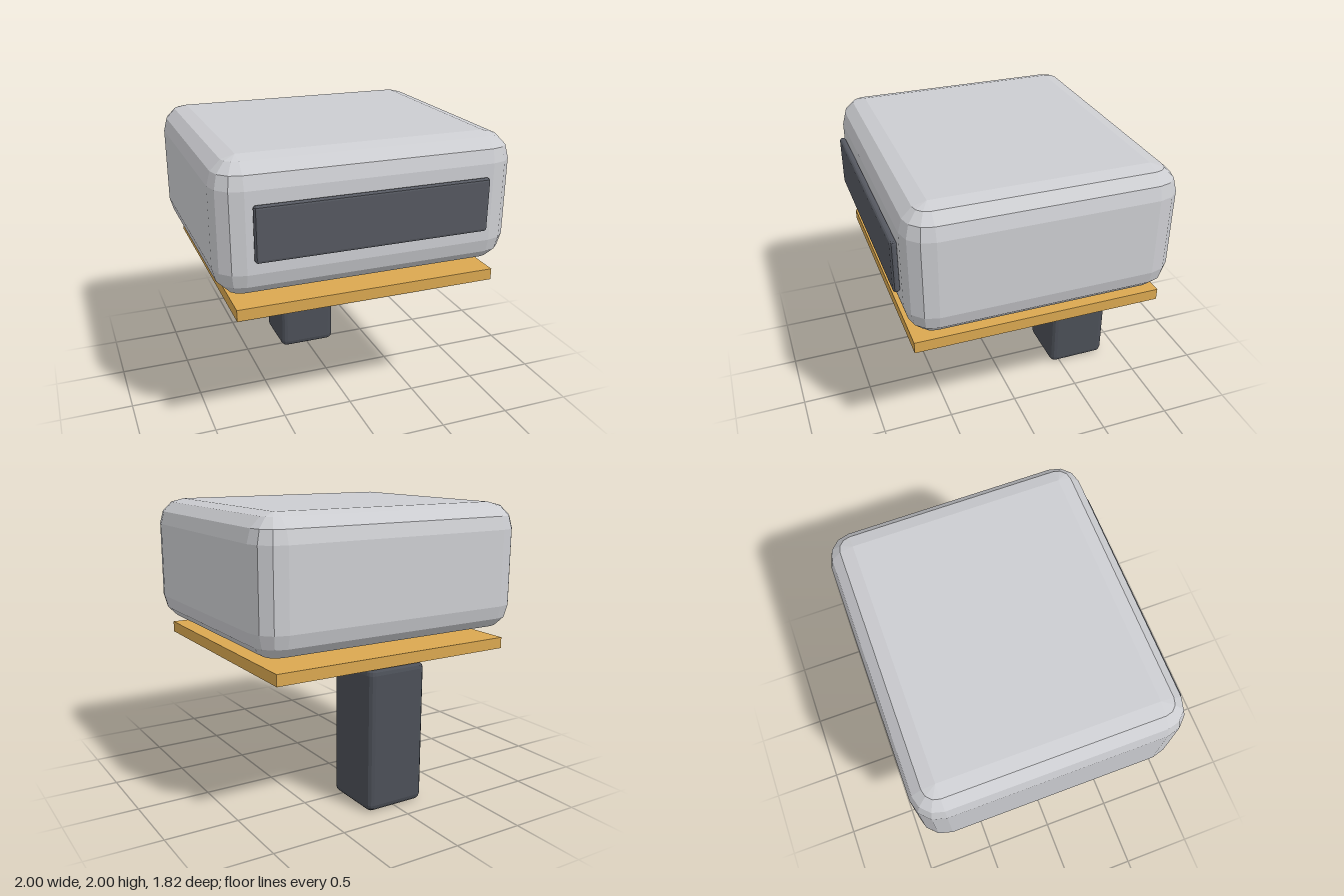
import * as THREE from 'three';
import { ConvexGeometry } from 'three/addons/geometries/ConvexGeometry.js';

// Box between two corners with edges rounded in a few flat facets
function bevelBox(min, max, radius, steps) {
  const points = [];
  for (const sx of [-1, 1]) for (const sy of [-1, 1]) for (const sz of [-1, 1]) {
    const s = [sx, sy, sz];
    const c = s.map((v, i) => (v < 0 ? min[i] + radius : max[i] - radius));
    for (let i = 0; i <= steps; i++) {
      const lat = (i / steps) * Math.PI / 2;
      const turns = i === steps ? 0 : steps;
      for (let j = 0; j <= turns; j++) {
        const lon = (j / steps) * Math.PI / 2;
        points.push(new THREE.Vector3(
          c[0] + sx * radius * Math.cos(lat) * Math.cos(lon),
          c[1] + sy * radius * Math.sin(lat),
          c[2] + sz * radius * Math.cos(lat) * Math.sin(lon)));
      }
    }
  }
  return new ConvexGeometry(points);
}

export function createModel() {
  const model = new THREE.Group();
  model.name = 'boxOnStand';

  const add = (name, geometry, color) => {
    const material = new THREE.MeshStandardMaterial({ color, flatShading: true });
    const mesh = new THREE.Mesh(geometry, material);
    mesh.name = name;
    model.add(mesh);
    return mesh;
  };

  // Large rounded housing
  add('housing', bevelBox([-1, 1.12, -0.91], [1, 2, 0.865], 0.178, 3), 0xcccdd1);

  // Dark panel on the front of the housing
  add('frontPanel', bevelBox([-0.78, 1.38, 0.865], [0.78, 1.74, 0.91], 0.02, 3), 0x555860);

  // Thin board floating just under the housing
  const board = add('board', new THREE.BoxGeometry(1.78, 0.078, 1.695), 0xdaa850);
  board.position.set(0, 1.024, -0.0175);

  // Post under the rear edge of the board
  add('post', bevelBox([-0.22, 0, -0.865], [0.22, 0.985, -0.425], 0.045, 3), 0x4b4f57);

  return model;
}
